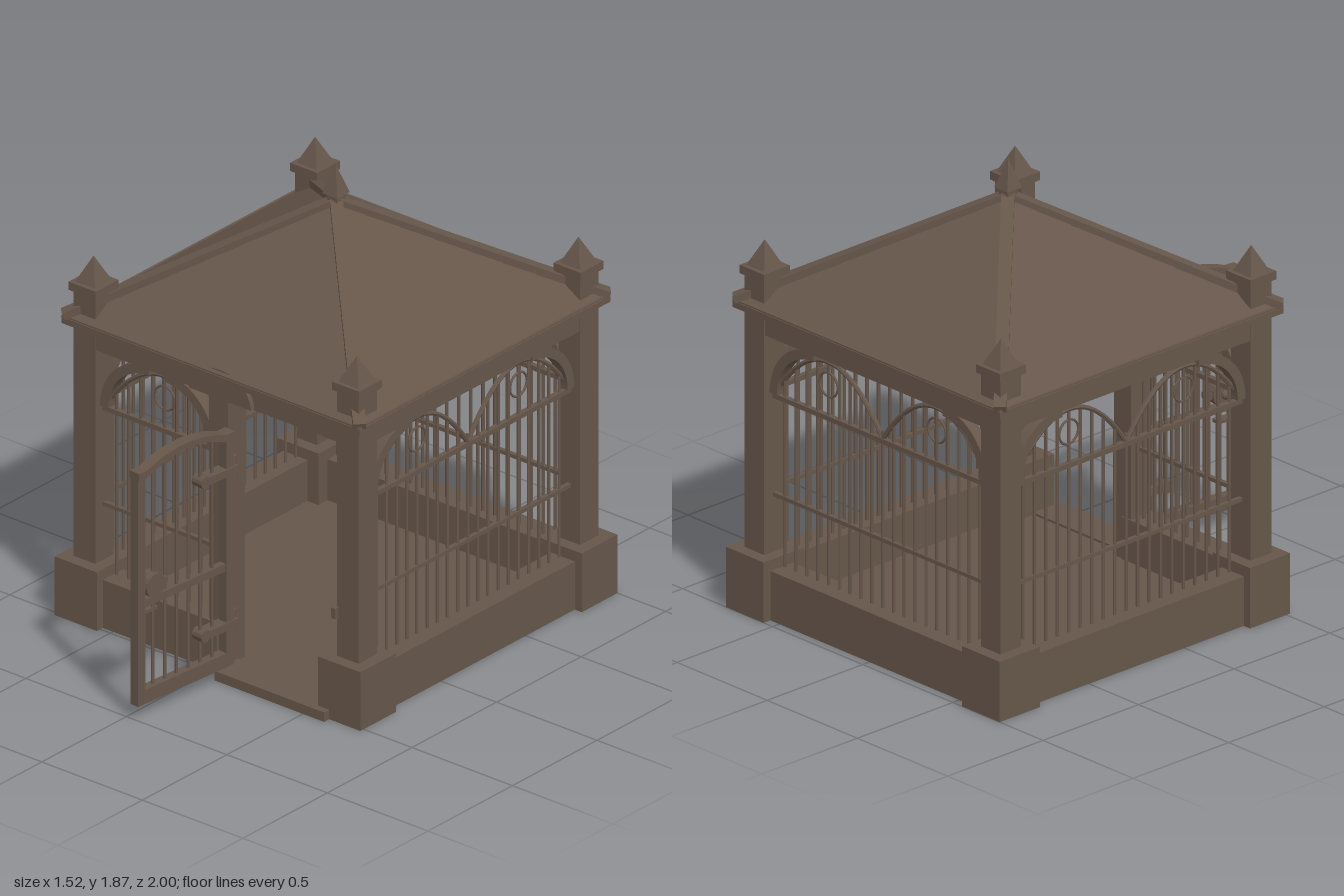
import * as THREE from 'three';

const brown = new THREE.MeshStandardMaterial({ color: 0x66564a, flatShading: true });
brown.name = 'weatheredBrown';
const roofBrown = new THREE.MeshStandardMaterial({ color: 0x66564a, flatShading: true, side: THREE.DoubleSide });
roofBrown.name = 'roofBrown';

const R = 0.655; // distance from the middle to each wall line

function add(parent, name, geo, x = 0, y = 0, z = 0, mat = brown) {
  const m = new THREE.Mesh(geo, mat);
  m.name = name;
  m.position.set(x, y, z);
  parent.add(m);
  return m;
}

// Box given by its x, y and z ranges
function box(parent, name, x0, x1, y0, y1, z0, z1) {
  return add(parent, name, new THREE.BoxGeometry(x1 - x0, y1 - y0, z1 - z0),
    (x0 + x1) / 2, (y0 + y1) / 2, (z0 + z1) / 2);
}

// Square frustum given by bottom and top widths
function frustum(parent, name, wBottom, wTop, y0, y1, x = 0, z = 0, open = false) {
  const geo = new THREE.CylinderGeometry(wTop * Math.SQRT1_2, wBottom * Math.SQRT1_2, y1 - y0, 4, 1, open, Math.PI / 4);
  return add(parent, name, geo, x, (y0 + y1) / 2, z, open ? roofBrown : brown);
}

function bar(parent, name, x, y0, y1, r = 0.007) {
  return add(parent, name, new THREE.CylinderGeometry(r, r, y1 - y0, 6), x, (y0 + y1) / 2, 0);
}

// Height of the scalloped grille top; each scallop spans 0.6
function scallop(x) {
  const t = 1 - Math.abs(Math.abs(x) - 0.3) / 0.3;
  return 0.905 + 0.225 * (1 - (1 - t) ** 2);
}

// Curved corner bracket starting at x and reaching towards dir
function bracket(parent, x, dir) {
  const r = 0.245, w = 0.04, s = new THREE.Shape();
  s.absarc(r, 0, r, Math.PI, Math.PI / 2, true);
  s.lineTo(r, r - w);
  s.absarc(r, 0, r - w, Math.PI / 2, Math.PI, false);
  const geo = new THREE.ExtrudeGeometry(s, { depth: 0.05, bevelEnabled: false, curveSegments: 10 });
  geo.translate(0, 0, -0.025);
  if (dir < 0) geo.rotateY(Math.PI);
  add(parent, 'archBracket', geo, x, 0.915, 0);
}

// One wall: low panel, rails, bars, scallops and rings
function wall(name, halves) {
  const g = new THREE.Group();
  g.name = name;
  const full = halves.length === 2;
  const end = full ? 0.6 : 0;
  box(g, 'lowPanel', -0.6, full ? 0.6 : 0.015, 0, 0.205, -0.05, 0.07);
  box(g, 'middleRail', -0.6, end, 0.482, 0.498, -0.009, 0.009);
  box(g, 'upperRail', -0.6, end, 0.89, 0.91, -0.011, 0.011);
  for (let k = -9; k <= (full ? 9 : -1); k++) {
    bar(g, 'bar', k * 0.06, 0.2, k === 0 ? 0.94 : scallop(k * 0.06));
  }
  for (const h of halves) {
    const pts = [];
    for (let i = 0; i <= 12; i++) {
      const x = h * i * 0.05;
      pts.push(new THREE.Vector3(x, scallop(x), 0));
    }
    add(g, 'scallopRail', new THREE.TubeGeometry(new THREE.CatmullRomCurve3(pts), 28, 0.01, 6));
    add(g, 'ringOrnament', new THREE.TorusGeometry(0.05, 0.005, 6, 20), h * 0.3, 1.035, 0);
  }
  bracket(g, -0.602, 1);
  bracket(g, full ? 0.602 : -0.033, -1);
  return g;
}

function makeDoor() {
  const g = new THREE.Group();
  g.name = 'door';
  const W = 0.515, T = 0.02;
  for (const x of [0, W - 0.04]) box(g, 'doorStile', x, x + 0.04, 0.06, 1.045, -T, T);
  box(g, 'doorBottomRail', 0.04, W - 0.04, 0.06, 0.12, -T, T);
  box(g, 'doorMiddleRail', 0.04, W - 0.04, 0.468, 0.5, -0.015, 0.015);
  for (let i = 1; i <= 6; i++) bar(g, 'doorBar', 0.035 + i * 0.0635, 0.11, 1.065 - Math.abs(i - 3.5) * 0.01);
  // arched top rail with flat shoulders
  const s = new THREE.Shape();
  s.moveTo(0, 1.025);
  s.lineTo(0.05, 1.025);
  s.quadraticCurveTo(W / 2, 1.125, W - 0.05, 1.025);
  s.lineTo(W, 1.025);
  s.lineTo(W, 1.055);
  s.lineTo(W - 0.045, 1.055);
  s.quadraticCurveTo(W / 2, 1.14, 0.045, 1.055);
  s.lineTo(0, 1.055);
  const top = new THREE.ExtrudeGeometry(s, { depth: 0.05, bevelEnabled: false, curveSegments: 12 });
  add(g, 'doorArch', top, 0, 0, -0.025);
  // strap hinges
  for (const y of [0.235, 0.89]) {
    box(g, 'hingeStrap', -0.02, 0.15, y - 0.016, y + 0.016, -0.026, 0.026);
    add(g, 'hingeEnd', new THREE.CylinderGeometry(0.026, 0.026, 0.052, 12).rotateX(Math.PI / 2), 0.155, y, 0);
    add(g, 'hingePin', new THREE.CylinderGeometry(0.013, 0.013, 0.1, 8), -0.015, y, 0);
  }
  // lock plate, knob and latch
  add(g, 'lockPlate', new THREE.CylinderGeometry(0.05, 0.05, 0.056, 16).rotateX(Math.PI / 2), 0.425, 0.55, 0);
  add(g, 'doorKnob', new THREE.SphereGeometry(0.018, 10, 8), 0.425, 0.55, 0.038);
  box(g, 'lockTab', 0.355, 0.4, 0.538, 0.562, -0.02, 0.02);
  box(g, 'latch', 0.395, 0.475, 0.432, 0.446, -0.005, 0.032);
  g.position.set(0.085, 0, 0.487);
  g.rotation.y = -(Math.PI / 2 + 0.088);
  return g;
}

export function createModel() {
  const model = new THREE.Group();
  model.name = 'gazebo';
  const house = new THREE.Group();
  house.name = 'house';
  house.position.z = -0.24;
  model.add(house);

  box(house, 'floor', -0.7, 0.7, 0, 0.03, -0.7, 0.7);
  box(house, 'doorStep', 0.06, 0.605, 0, 0.04, 0.65, 0.79);

  // corner pillars
  for (const sx of [-1, 1]) for (const sz of [-1, 1]) {
    const p = new THREE.Group();
    p.name = 'cornerPillar';
    p.position.set(sx * R, 0, sz * R);
    house.add(p);
    frustum(p, 'pillarBase', 0.21, 0.21, 0, 0.25);
    frustum(p, 'pillarShaft', 0.108, 0.108, 0.25, 1.385);
    frustum(p, 'pillarCap', 0.135, 0.135, 1.385, 1.42);
    frustum(p, 'pillarSpire', 0.1, 0.002, 1.42, 1.525);
  }

  // walls, beams and cornices
  ['frontWall', 'leftWall', 'backWall', 'rightWall'].forEach((name, i) => {
    const turn = new THREE.Group();
    turn.name = name + 'Side';
    turn.rotation.y = i * Math.PI / 2;
    house.add(turn);
    const w = wall(name, i === 0 ? [-1] : [-1, 1]);
    w.position.z = R;
    turn.add(w);
    box(turn, 'beam', -0.705, 0.705, 1.16, 1.25, 0.605, 0.705);
    box(turn, 'cornice', -0.742, 0.742, 1.245, 1.28, 0.61, 0.742);
  });

  // door frame and curved plate above it
  box(house, 'doorPost', -0.035, 0.06, 0, 1.165, 0.61, 0.71);
  box(house, 'latchKeeper', 0.59, 0.61, 0.415, 0.46, 0.69, 0.73);
  const s = new THREE.Shape();
  s.moveTo(-0.155, 0);
  s.bezierCurveTo(-0.145, 0.08, -0.08, 0.125, 0, 0.125);
  s.bezierCurveTo(0.08, 0.125, 0.145, 0.08, 0.155, 0);
  add(house, 'curvedPlate', new THREE.ExtrudeGeometry(s, { depth: 0.025, bevelEnabled: false }), 0.033, 1.165, 0.7);
  model.add(makeDoor());

  // roof of overlapping boards
  const half = 0.74, eave = 1.272, peak = 1.725, courses = 8;
  for (let i = 0; i < courses; i++) {
    const a = i / courses, b = (i + 1) / courses;
    const yA = eave + (peak - eave) * a, yB = eave + (peak - eave) * b;
    frustum(house, 'roofBoards', 2 * half * (1 - a) + 0.008, 2 * half * (1 - b), yA, yB, 0, 0, true);
  }
  // hip rails
  for (const sx of [-1, 1]) for (const sz of [-1, 1]) {
    const from = new THREE.Vector3(0, 1.725, 0), to = new THREE.Vector3(sx * 0.738, 1.282, sz * 0.738);
    const m = new THREE.Mesh(new THREE.BoxGeometry(0.05, 0.03, from.distanceTo(to)), brown);
    m.name = 'hipRail';
    m.position.copy(from).add(to).multiplyScalar(0.5);
    m.lookAt(to);
    house.add(m);
  }
  // finial at the peak
  frustum(house, 'finialCollar', 0.05, 0.05, 1.7, 1.755);
  frustum(house, 'finialSpire', 0.075, 0.002, 1.755, 1.87);
  return model;
}
